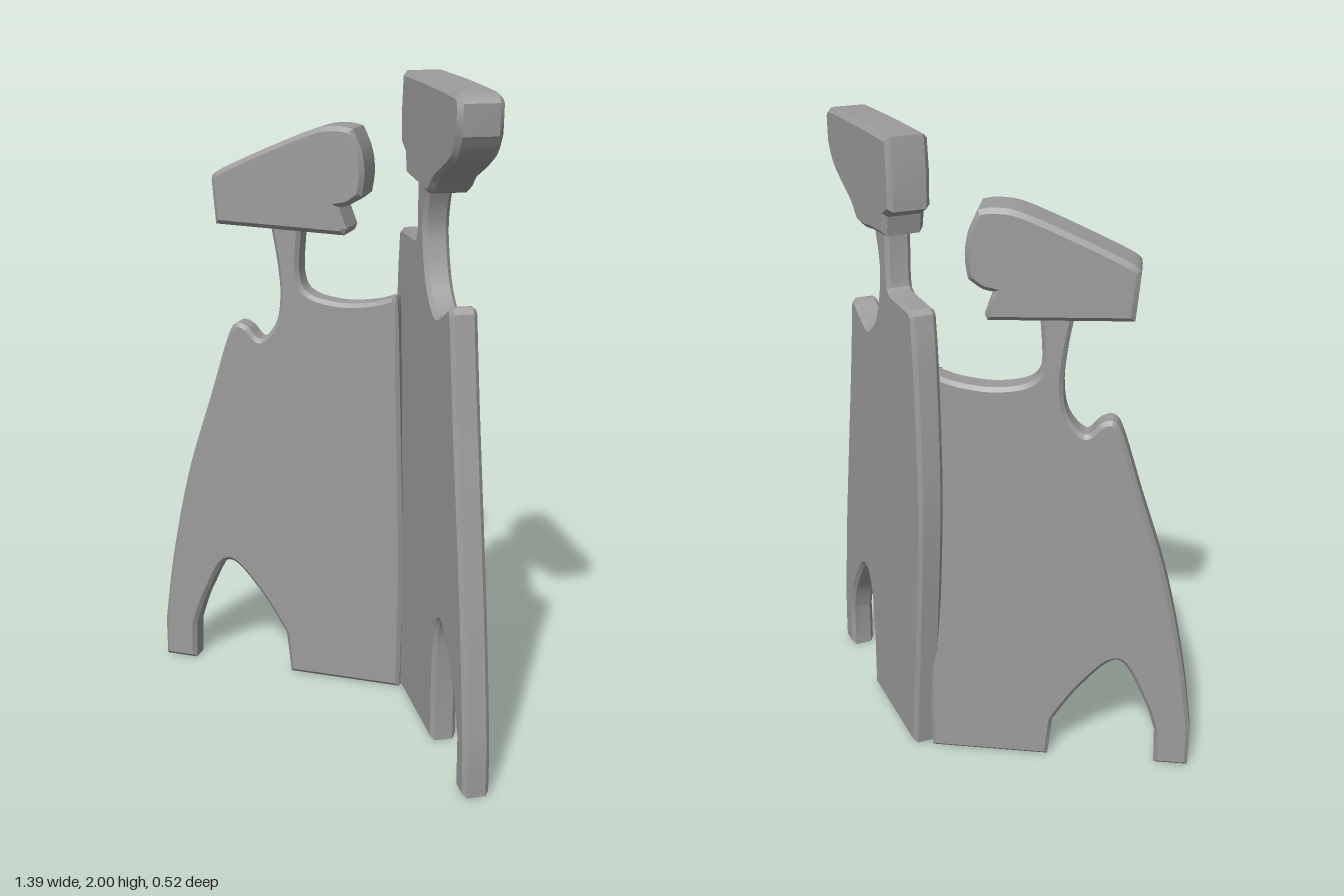
import * as THREE from 'three';
import { toCreasedNormals } from 'three/addons/utils/BufferGeometryUtils.js';

const material = new THREE.MeshStandardMaterial({ color: 0x9c9c9c });

// Closed outline from runs: a single point is a straight line to it,
// a longer run is a smooth curve continuing from the previous point.
function outline(runs, stretch) {
  const shape = new THREE.Shape();
  runs.forEach((run, i) => {
    const pts = run.map(([x, y]) => new THREE.Vector2(x * stretch, y));
    if (i === 0) shape.moveTo(pts[0].x, pts[0].y);
    else if (pts.length === 1) shape.lineTo(pts[0].x, pts[0].y);
    else shape.splineThru(pts);
  });
  return shape;
}

// Slab with chamfered edges, centred on its own plane
function slab(name, runs, thickness, bevel, stretch) {
  const geometry = new THREE.ExtrudeGeometry(outline(runs, stretch), {
    depth: thickness - 2 * bevel,
    bevelThickness: bevel,
    bevelSize: bevel,
    bevelOffset: -bevel,
    bevelSegments: 1,
    curveSegments: 8,
  });
  geometry.translate(0, 0, -thickness / 2 + bevel);
  const mesh = new THREE.Mesh(toCreasedNormals(geometry, 0.5), material);
  mesh.name = name;
  return mesh;
}

// A flat figure: body panel and thicker head, turned about the vertical.
// Outlines are given in world x, so they are stretched along the turned plane.
function figure(name, degrees, z, body, head, headThickness) {
  const angle = THREE.MathUtils.degToRad(degrees);
  const stretch = 1 / Math.cos(angle);
  const group = new THREE.Group();
  group.name = name;
  group.add(slab('bodyPanel', body, 0.08, 0.012, stretch));
  group.add(slab('head', head, headThickness, 0.014, stretch));
  group.rotation.y = angle;
  group.position.z = z;
  return group;
}

// Shorter figure, counter-clockwise from the inner foot
const shortBody = [
  [[0.068, 0]],
  [[0.074, 0.44], [0.065, 0.86], [0.055, 1.25], [0.048, 1.32]], // inner edge
  [[-0.02, 1.297], [-0.115, 1.288], [-0.205, 1.31], [-0.235, 1.37], [-0.23, 1.5]], // shoulder
  [[-0.23, 1.58]], [[-0.325, 1.58]], [[-0.315, 1.5]],    // neck
  [[-0.3, 1.4], [-0.293, 1.3], [-0.307, 1.21], [-0.355, 1.152], [-0.395, 1.19],
    [-0.43, 1.198], [-0.457, 1.15], [-0.512, 0.96], [-0.593, 0.68], [-0.653, 0.38], [-0.687, 0.13]],
  [[-0.687, 0]], [[-0.588, 0]], [[-0.584, 0.13]],        // outer leg
  [[-0.545, 0.25], [-0.47, 0.38], [-0.37, 0.28], [-0.288, 0.14]], // arch
  [[-0.275, 0]],
];
const shortHead = [
  [[-0.473, 1.52]], [[-0.095, 1.505]], [[-0.088, 1.525]], [[-0.11, 1.59]],
  [[-0.08, 1.598], [-0.045, 1.625]],                     // chin
  [[-0.037, 1.69], [-0.045, 1.76], [-0.07, 1.825]],      // face
  [[-0.12, 1.832], [-0.205, 1.812], [-0.45, 1.693], [-0.483, 1.655]],
];

// Taller figure, counter-clockwise from the inner foot
const tallBody = [
  [[0.085, 0]], [[0.405, 0]], [[0.405, 0.2]],
  [[0.418, 0.36], [0.453, 0.43], [0.505, 0.4], [0.585, 0.26], [0.615, 0.16]], // arch
  [[0.615, 0]], [[0.678, 0]],                            // outer leg
  [[0.673, 0.175], [0.637, 0.49], [0.596, 0.76], [0.537, 1.13], [0.503, 1.375]],
  [[0.492, 1.392]],
  [[0.475, 1.39], [0.43, 1.36], [0.37, 1.342], [0.305, 1.41], [0.27, 1.53], [0.272, 1.61], [0.3, 1.7]],
  [[0.3, 1.78]], [[0.21, 1.78]], [[0.21, 1.56]],         // neck
  [[0.205, 1.535]], [[0.19, 1.525]], [[0.06, 1.525]], [[0.045, 1.51]], // shoulder
  [[0.025, 1.32], [0.012, 0.92], [0.042, 0.46], [0.085, 0]],
];
const tallHead = [
  [[0.138, 2]], [[0.126, 1.9]], [[0.126, 1.79]],
  [[0.165, 1.765]], [[0.175, 1.705]],                    // chin
  [[0.26, 1.695], [0.36, 1.683], [0.42, 1.73], [0.545, 1.8], [0.592, 1.87]],
  [[0.596, 1.955]],
  [[0.58, 1.975], [0.54, 1.982], [0.35, 1.993], [0.138, 2]],
];

export function createModel() {
  const model = new THREE.Group();
  model.name = 'pairOfFigures';
  model.add(figure('shortFigure', 25, -0.124, shortBody, shortHead, 0.14));
  model.add(figure('tallFigure', -35, -0.241, tallBody, tallHead, 0.128));
  return model;
}
